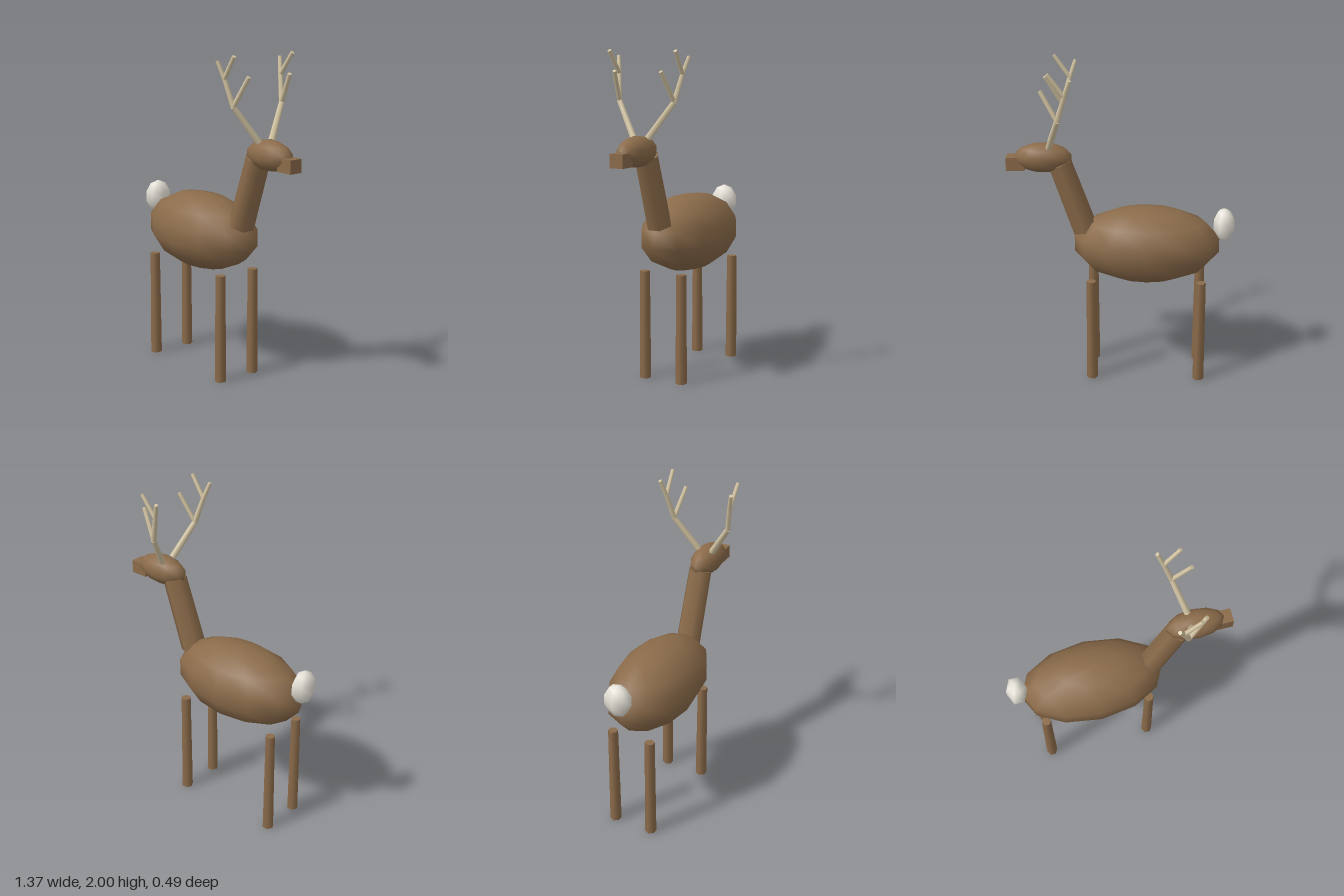
import * as THREE from 'three';

const V = (x, y, z) => new THREE.Vector3(x, y, z);

export function createModel() {
  const model = new THREE.Group();
  model.name = 'deer';

  const material = (name, color) => {
    const m = new THREE.MeshStandardMaterial({ color });
    m.name = name;
    return m;
  };
  const fur = material('brown fur', 0x8b6b4a);
  const horn = material('pale antler', 0xd4c5a3);
  const white = material('white tail', 0xeeeae0);

  const add = (parent, name, geometry, mat) => {
    const mesh = new THREE.Mesh(geometry, mat);
    mesh.name = name;
    parent.add(mesh);
    return mesh;
  };

  // Low-sided ellipsoid with smooth normals
  const ellipsoid = (name, centre, radii, sides, rings, mat) => {
    const g = new THREE.SphereGeometry(1, sides, rings);
    g.scale(...radii);
    add(model, name, g, mat).position.set(...centre);
  };

  // Tapered hexagonal rod between two points
  const rod = (parent, name, a, b, rA, rB, mat, turn = 0) => {
    const dir = b.clone().sub(a);
    const g = new THREE.CylinderGeometry(rB, rA, dir.length(), 6);
    g.rotateY(turn);
    const mesh = add(parent, name, g, mat);
    mesh.position.copy(a).add(b).multiplyScalar(0.5);
    mesh.quaternion.setFromUnitVectors(V(0, 1, 0), dir.normalize());
  };

  // Body, head and tail
  ellipsoid('body', [-0.157, 0.873, 0], [0.454, 0.238, 0.249], 12, 7, fur);
  ellipsoid('head', [0.466, 1.425, 0], [0.175, 0.09, 0.087], 12, 7, fur);
  ellipsoid('tail', [-0.625, 1.005, 0], [0.066, 0.105, 0.087], 6, 5, white);

  // Neck and snout
  rod(model, 'neck', V(0.218, 0.965, 0), V(0.366, 1.39, 0), 0.08, 0.075, fur);
  add(model, 'snout', new THREE.BoxGeometry(0.11, 0.08, 0.084), fur).position.set(0.63, 1.392, 0);

  for (const side of [1, -1]) {
    // Legs, slightly wider at the hoof
    for (const [name, x] of [['frontLeg', 0.178], ['backLeg', -0.49]]) {
      const z = 0.126 * side;
      rod(model, name, V(x, 0, z), V(x, 0.67, z), 0.035, 0.03, fur, Math.PI / 6);
    }

    // Antlers: a bent beam with two forward tines
    const antler = new THREE.Group();
    antler.name = 'antler';
    model.add(antler);
    const base = V(0.426, 1.5, 0.048 * side);
    const fork = V(0.36, 1.705, 0.182 * side);
    const upperFork = V(0.315, 1.86, 0.21 * side);
    const tip = V(0.281, 1.96, 0.234 * side);
    rod(antler, 'beam', base, fork, 0.021, 0.017, horn);
    rod(antler, 'upperBeam', fork, upperFork, 0.017, 0.014, horn);
    rod(antler, 'beamTip', upperFork, tip, 0.014, 0.012, horn);
    rod(antler, 'lowerTine', fork, V(0.458, 1.877, 0.152 * side), 0.015, 0.013, horn);
    rod(antler, 'upperTine', upperFork, V(0.408, 1.991, 0.217 * side), 0.014, 0.012, horn);
  }
  return model;
}
